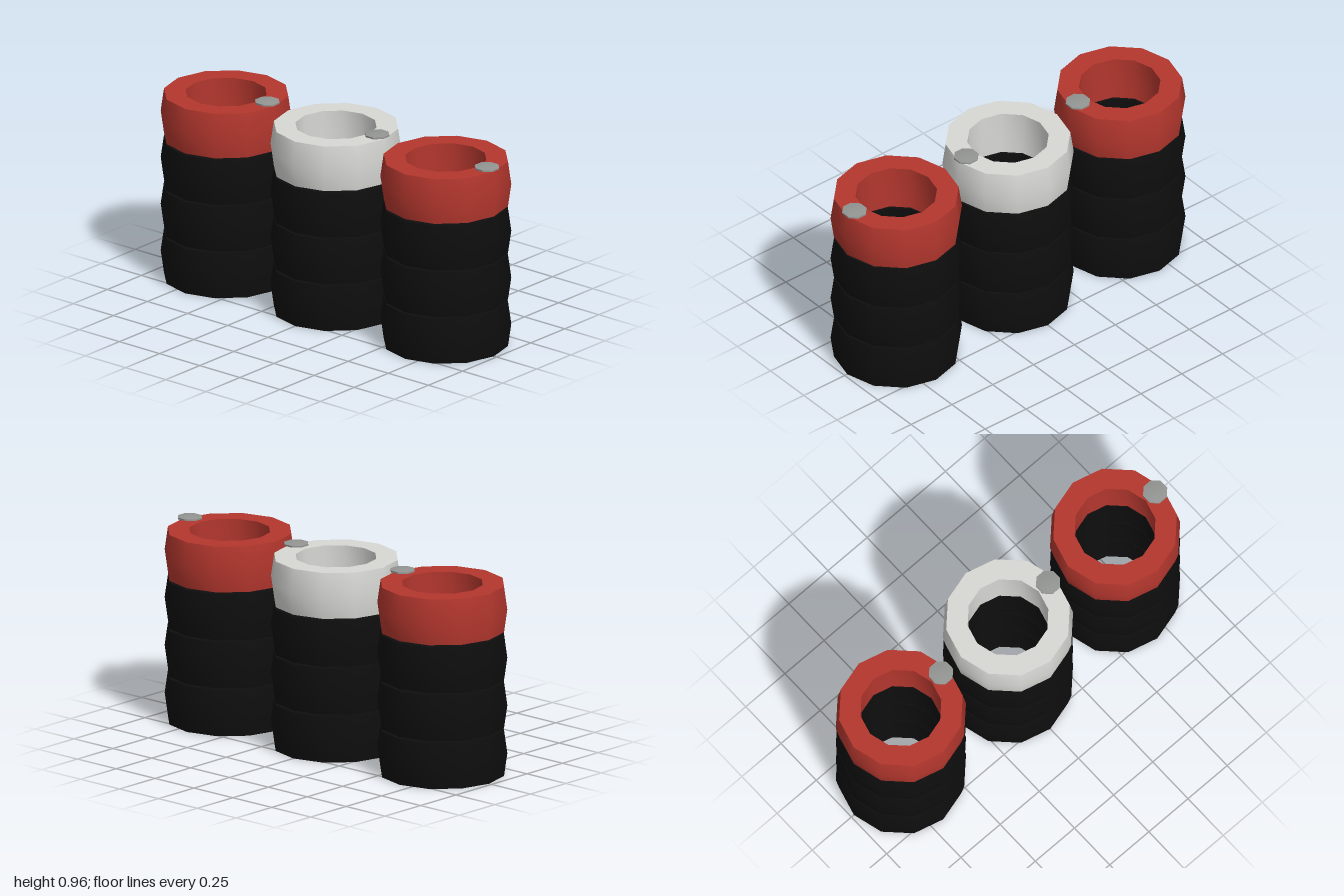
import * as THREE from 'three';
import { toCreasedNormals } from 'three/addons/utils/BufferGeometryUtils.js';

const TYRE_H = 0.226, PITCH = 0.2363, SPACING = 0.684;

function material(name, color) {
  const m = new THREE.MeshStandardMaterial({ color });
  m.name = name;
  return m;
}

// Lathe a profile (bottom to top), smooth around but sharp at the rims
function turned(points, sides) {
  const profile = points.map(([r, y]) => new THREE.Vector2(r, y));
  return toCreasedNormals(new THREE.LatheGeometry(profile, sides), Math.PI / 4);
}

export function createModel() {
  const black = material('black rubber', 0x0e0e0e);
  const red = material('red paint', 0xb4372e);
  const white = material('white paint', 0xd8d8d5);
  const grey = material('grey metal', 0x939593);

  // Closed ring profile with a slight bulge at mid height
  const tyreGeometry = turned([
    [0.196, 0], [0.3, 0], [0.316, TYRE_H / 2],
    [0.3, TYRE_H], [0.196, TYRE_H], [0.196, 0],
  ], 12);

  // Small domed bolt head with flats facing the axes
  const boltGeometry = turned([
    [0, 0], [0.061, 0], [0.061, 0.008], [0.035, 0.0115], [0, 0.014],
  ], 8);
  boltGeometry.rotateY(Math.PI / 8);

  const model = new THREE.Group();
  model.name = 'tyreBarrier';

  [-1, 0, 1].forEach((place) => {
    const stack = new THREE.Group();
    stack.name = ['backStack', 'middleStack', 'frontStack'][place + 1];
    stack.position.z = place * SPACING;

    // Three black tyres with a painted one on top
    for (let i = 0; i < 4; i++) {
      const isTop = i === 3;
      const tyre = new THREE.Mesh(tyreGeometry, isTop ? (place === 0 ? white : red) : black);
      tyre.name = isTop ? 'paintedTyre' : 'tyre';
      tyre.position.y = i * PITCH;
      stack.add(tyre);
    }

    const bolt = new THREE.Mesh(boltGeometry, grey);
    bolt.name = 'bolt';
    bolt.position.set(0, 0.945, 0.256);
    stack.add(bolt);
    model.add(stack);
  });

  return model;
}
